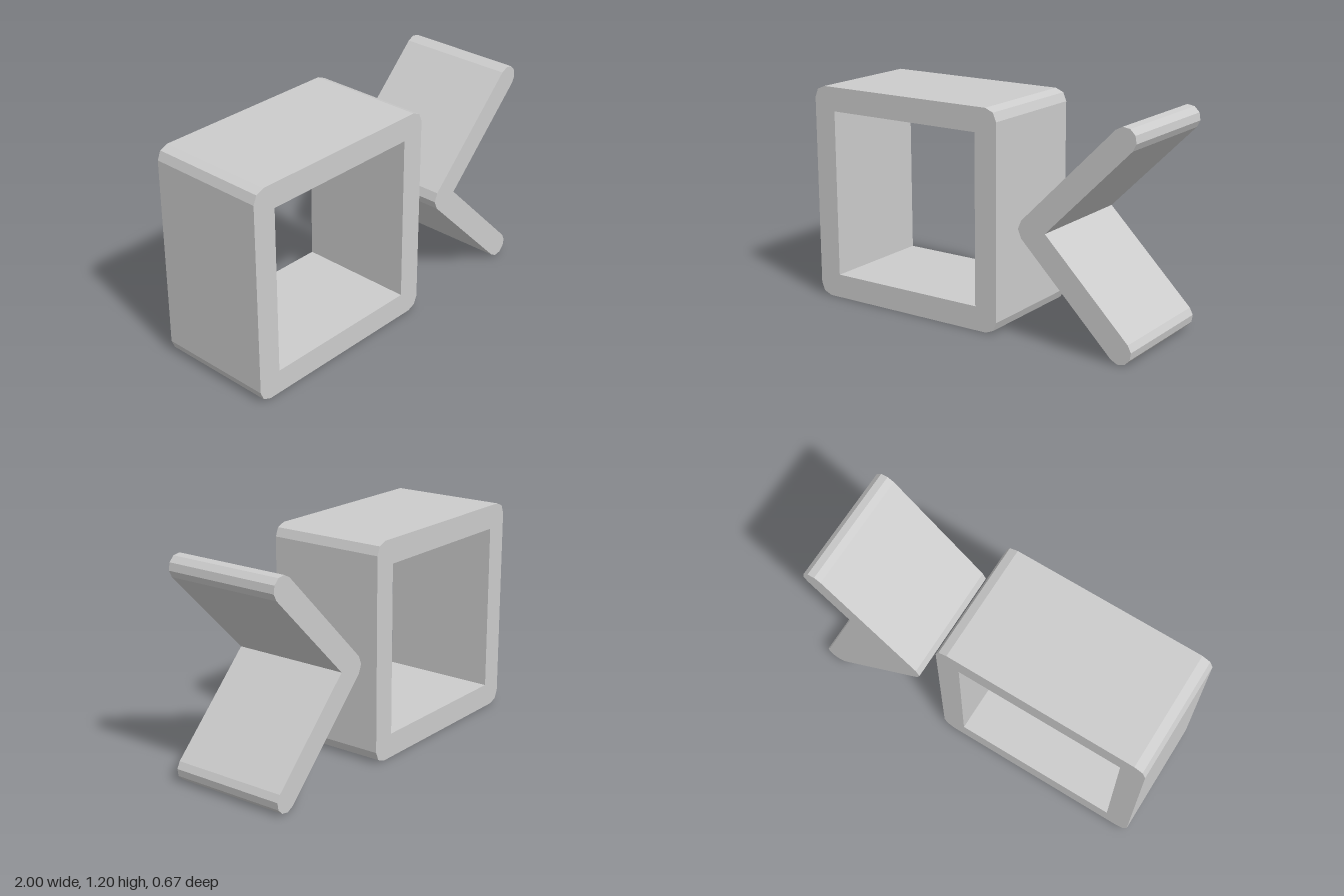
import * as THREE from 'three';

const R = 0.2 / 3;   // half the wall thickness
const DEPTH = 2 / 3;

// Points of a faceted arc around (x, y), angles in degrees
function arc(x, y, from, to, steps) {
  const points = [];
  for (let i = 0; i <= steps; i++) {
    const a = THREE.MathUtils.degToRad(from + (to - from) * i / steps);
    points.push(new THREE.Vector2(x + R * Math.cos(a), y + R * Math.sin(a)));
  }
  return points;
}

function extruded(name, shape, material) {
  const geometry = new THREE.ExtrudeGeometry(shape, { depth: DEPTH, bevelEnabled: false });
  geometry.translate(0, 0, -DEPTH / 2);
  const mesh = new THREE.Mesh(geometry, material);
  mesh.name = name;
  return mesh;
}

export function createModel() {
  const group = new THREE.Group();
  group.name = 'frameAndChevron';
  const grey = new THREE.MeshStandardMaterial({ color: 0xcccccc, flatShading: true });
  grey.name = 'light grey';

  // Square tube: clipped outer corners, sharp inner opening
  const x0 = -1 + R, x1 = 0.2 - R, y0 = R, y1 = 1.2 - R;
  const square = new THREE.Shape([
    ...arc(x1, y1, 0, 90, 2),
    ...arc(x0, y1, 90, 180, 2),
    ...arc(x0, y0, 180, 270, 2),
    ...arc(x1, y0, 270, 360, 2),
  ]);
  square.holes.push(new THREE.Path([
    new THREE.Vector2(x0 + R, y0 + R),
    new THREE.Vector2(x0 + R, y1 - R),
    new THREE.Vector2(x1 - R, y1 - R),
    new THREE.Vector2(x1 - R, y0 + R),
  ]));
  group.add(extruded('squareFrame', square, grey));

  // Chevron: rounded arm ends, clipped outer elbow, sharp inner elbow
  const tipX = 1 - R, elbowX = 0.4;
  const chevron = new THREE.Shape([
    ...arc(tipX, y1, -45, 135, 5),
    ...arc(elbowX, 0.6, 135, 225, 2),
    ...arc(tipX, y0, 225, 405, 5),
    new THREE.Vector2(elbowX + R * Math.SQRT2, 0.6),
  ]);
  group.add(extruded('chevron', chevron, grey));

  return group;
}
